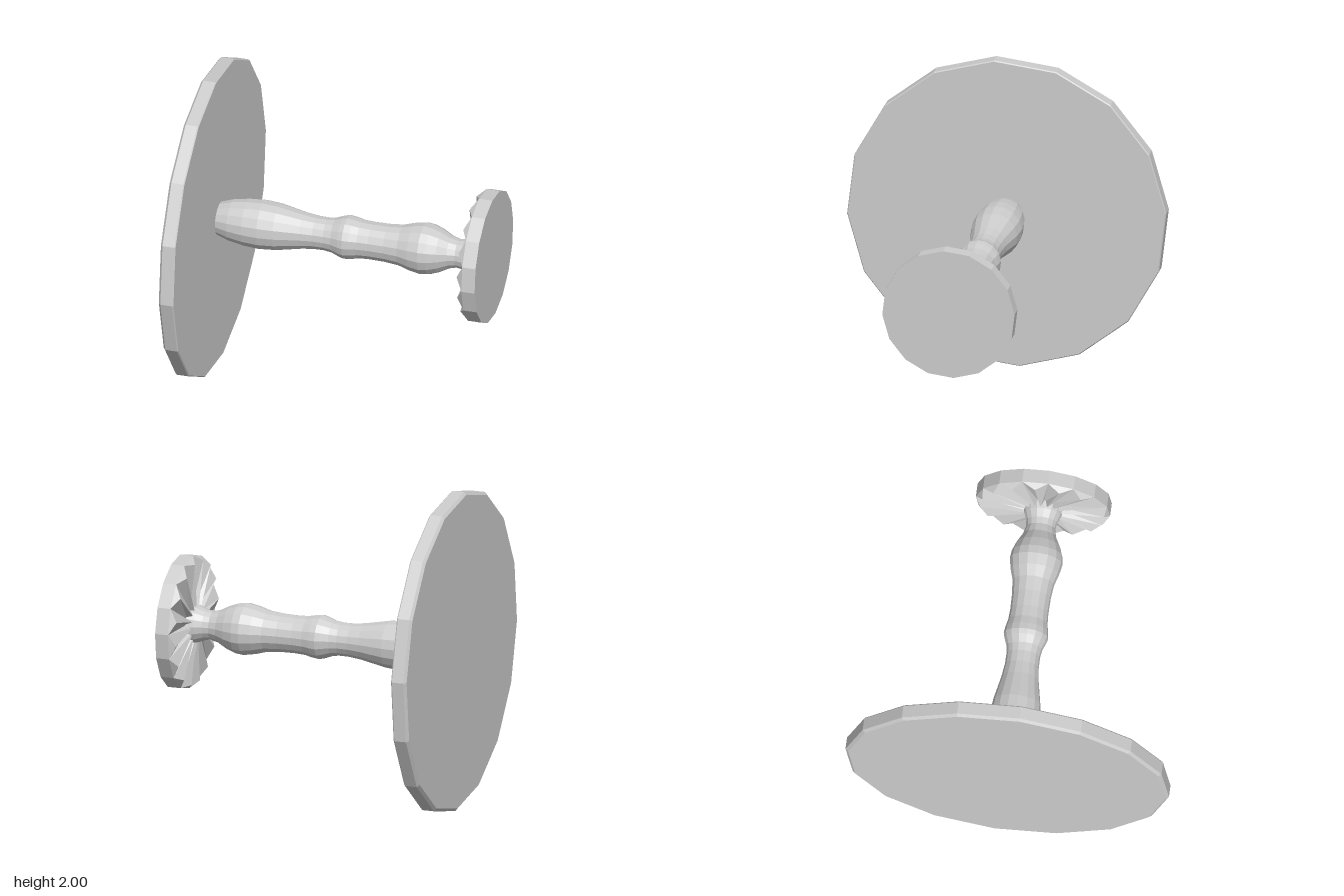
import * as THREE from 'three';

const SIDES = 16;
const PHASE = THREE.MathUtils.degToRad(4.5);

export function createModel() {
  const gray = new THREE.MeshStandardMaterial({ color: 0xcccccc, flatShading: true });
  gray.name = 'light gray';

  const model = new THREE.Group();
  model.name = 'spindleWithDiscs';

  // Everything is turned about the local y axis, then laid along x
  const axis = new THREE.Group();
  axis.name = 'turnedParts';
  axis.rotation.z = -Math.PI / 2;
  axis.position.y = 1;
  model.add(axis);

  const add = (name, geometry, parent = axis) => {
    const mesh = new THREE.Mesh(geometry, gray);
    mesh.name = name;
    parent.add(mesh);
  };
  // Profile points are [radius, position along the axis]
  const turn = (points) => new THREE.LatheGeometry(
    points.map(([r, h]) => new THREE.Vector2(r, h)), SIDES, PHASE, Math.PI * 2);

  // Large disc with narrow chamfers
  add('largeDisc', turn([
    [0, -0.925], [0.985, -0.925], [1.003, -0.91], [1.003, -0.835], [0.997, -0.828], [0, -0.828],
  ]));

  // Turned handle
  add('handle', turn([
    [0.1, -0.84], [0.11, -0.81], [0.13, -0.75], [0.148, -0.65], [0.155, -0.55], [0.147, -0.45],
    [0.131, -0.37], [0.115, -0.29], [0.105, -0.21], [0.104, -0.14], [0.111, -0.09], [0.13, -0.04],
    [0.138, -0.01], [0.133, 0.03], [0.122, 0.08], [0.118, 0.15], [0.12, 0.25], [0.129, 0.34],
    [0.15, 0.41], [0.163, 0.48], [0.157, 0.53], [0.135, 0.59], [0.103, 0.65], [0.09, 0.7],
    [0.095, 0.74], [0.115, 0.79], [0.125, 0.84],
  ]));

  // Small disc: plain rim and outer face
  const cap = new THREE.Group();
  cap.name = 'smallDisc';
  cap.position.set(-0.008, 0, -0.004);
  axis.add(cap);
  add('smallDiscRim', turn([[0.416, 0.84], [0.416, 0.925], [0, 0.925]]), cap);

  // Small disc: fluted inner face, valleys at the rim corners and ridges between
  const vertices = [];
  const at = (r, step, h) => {
    const a = PHASE + step * Math.PI * 2 / SIDES;
    return [r * Math.sin(a), h, r * Math.cos(a)];
  };
  for (let i = 0; i < SIDES; i++) {
    const hub0 = at(0.08, i, 0.84), rim0 = at(0.416, i, 0.84);
    const hub1 = at(0.08, i + 1, 0.84), rim1 = at(0.416, i + 1, 0.84);
    const ridgeHub = at(0.08, i + 0.5, 0.8), ridgeTip = at(0.385, i + 0.5, 0.8);
    vertices.push(
      ...hub0, ...ridgeTip, ...rim0, ...hub0, ...ridgeHub, ...ridgeTip,
      ...ridgeHub, ...rim1, ...ridgeTip, ...ridgeHub, ...hub1, ...rim1,
      ...ridgeTip, ...rim1, ...rim0);
  }
  const flutes = new THREE.BufferGeometry();
  flutes.setAttribute('position', new THREE.Float32BufferAttribute(vertices, 3));
  flutes.computeVertexNormals();
  add('smallDiscFlutes', flutes, cap);

  return model;
}
